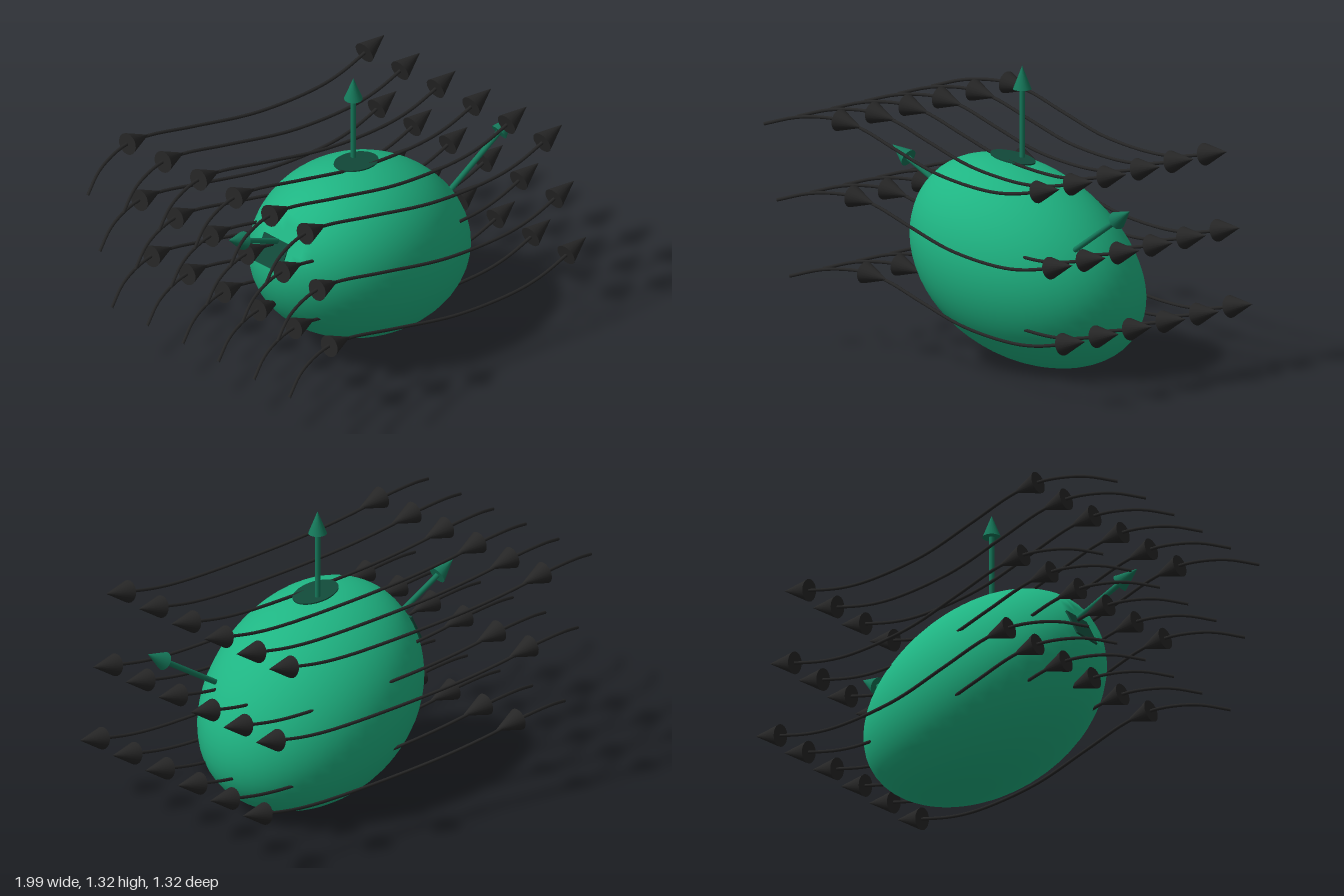
import * as THREE from 'three';

const V = (x, y, z) => new THREE.Vector3(x, y, z);
const mat = (color) => new THREE.MeshStandardMaterial({ color });
const UP = V(0, 1, 0);

function add(parent, name, geometry, material) {
  const mesh = new THREE.Mesh(geometry, material);
  mesh.name = name;
  parent.add(mesh);
  return mesh;
}

// Turns a y-aligned object along dir, standing on the point base
function aim(object, base, dir) {
  object.position.copy(base);
  object.quaternion.setFromUnitVectors(UP, dir.clone().normalize());
  return object;
}

function coneGeometry(radius, length) {
  return new THREE.ConeGeometry(radius, length, 20).translate(0, length / 2, 0);
}

export function createModel() {
  const model = new THREE.Group();
  model.name = 'surfaceInFlowField';
  const green = mat(0x1fb583);
  const arrowGreen = mat(0x15785a);
  const patchGreen = mat(0x124a3a);
  const black = mat(0x262626);

  // Closed surface: a sheared sphere, fuller below, flattened under the side patch
  const sideNormal = V(-0.9, 0.44, 0).normalize();
  const sideCentre = V(-0.408, 0.64, 0.04);
  const sphere = new THREE.SphereGeometry(1, 48, 32);
  const pos = sphere.attributes.position;
  const nor = sphere.attributes.normal;
  const u = new THREE.Vector3();
  for (let i = 0; i < pos.count; i++) {
    u.fromBufferAttribute(pos, i);
    const f = 1 - 0.065 * (u.y - u.y ** 3);
    const p = V(
      0.539 * u.x - 0.141 * u.y,
      0.46 * u.y,
      0.434 * u.z - 0.009 * u.x + 0.052 * u.y
    ).multiplyScalar(f).add(V(0.117, 0.46, 0.066));
    const over = p.clone().sub(sideCentre).dot(sideNormal);
    if (over > 0) p.addScaledVector(sideNormal, -over);
    pos.setXYZ(i, p.x, p.y, p.z);
    // Inverse transpose of the shear keeps the normals smooth across the seam
    const nx = (u.x + 0.0207 * u.z) / 0.539;
    const nz = u.z / 0.434;
    const n = V(nx, (u.y + 0.141 * nx - 0.052 * nz) / 0.46, nz).normalize();
    if (over > 0) n.copy(sideNormal);
    nor.setXYZ(i, n.x, n.y, n.z);
  }
  add(model, 'closedSurface', sphere, green);

  // Dark area patches: round on top, square on the side
  const topPatch = add(model, 'topPatch', new THREE.CylinderGeometry(1, 1, 0.006, 40), patchGreen);
  aim(topPatch, V(0.067, 0.913, 0.096), V(0.13, 1, -0.03));
  topPatch.scale.set(0.115, 1, 0.08);
  const sidePatch = add(model, 'sidePatch', new THREE.BoxGeometry(0.135, 0.008, 0.15), patchGreen);
  aim(sidePatch, sideCentre, sideNormal);

  // Normal arrows
  const arrows = [
    ['topArrow', V(0.088, 0.88, 0.06), V(0.088, 1.32, 0.06)],
    ['sideArrow', V(-0.36, 0.68, 0.045), V(-0.7, 0.848, 0.052)],
    ['frontArrow', V(0.5, 0.56, 0.205), V(0.915, 0.825, 0.248)],
  ];
  for (const [name, from, to] of arrows) {
    const dir = to.clone().sub(from);
    const shaft = dir.length() - 0.1;
    const arrow = aim(new THREE.Group(), from, dir);
    arrow.name = name;
    add(arrow, 'shaft', new THREE.CylinderGeometry(0.0125, 0.0125, shaft, 12).translate(0, shaft / 2, 0), arrowGreen);
    add(arrow, 'head', coneGeometry(0.041, 0.105), arrowGreen).position.y = shaft - 0.005;
    model.add(arrow);
  }

  // One field line with two arrowheads, repeated on a 6 by 3 grid
  const path = new THREE.CatmullRomCurve3([
    V(-1, 0.973, -0.51), V(-0.87, 1.012, -0.565), V(-0.74, 1.028, -0.597),
    V(-0.63, 1.028, -0.61), V(-0.5, 1.008, -0.608), V(-0.26, 0.96, -0.565),
    V(0.06, 0.91, -0.495), V(0.38, 0.893, -0.455), V(0.54, 0.904, -0.446),
    V(0.71, 0.938, -0.447), V(0.8, 0.96, -0.45),
  ]);
  const lineGeometry = new THREE.TubeGeometry(path, 48, 0.0075, 8);
  const headGeometry = coneGeometry(0.05, 0.135);
  for (let row = 0; row < 3; row++) {
    for (let i = 0; i < 6; i++) {
      const line = new THREE.Group();
      line.name = 'fieldLine';
      line.position.set(row * 0.077, row * -0.328, i * 0.2115);
      add(line, 'line', lineGeometry, black);
      aim(add(line, 'startHead', headGeometry, black), V(-0.64, 1.029, -0.607), V(1, -0.11, 0));
      aim(add(line, 'endHead', headGeometry, black), V(0.703, 0.937, -0.447), V(1, 0.23, -0.02));
      model.add(line);
    }
  }
  return model;
}
